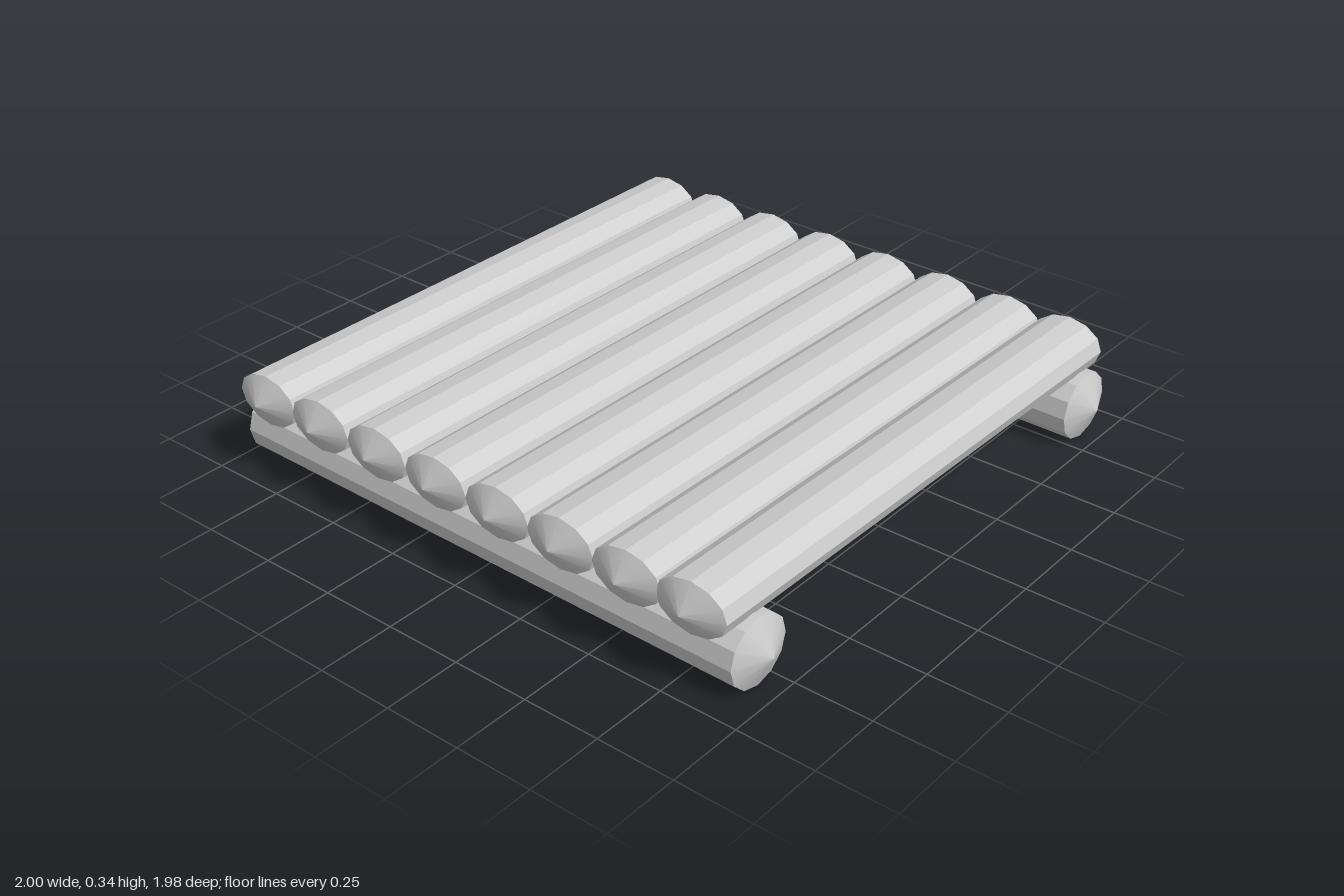
import * as THREE from 'three';
import { toCreasedNormals } from 'three/addons/utils/BufferGeometryUtils.js';

// Twelve-sided log along z with shallow pointed ends
function logGeometry(rx, ry, bodyHalf, tipHalf) {
  const profile = [[0, -tipHalf], [1, -bodyHalf], [1, bodyHalf], [0, tipHalf]]
    .map(([r, y]) => new THREE.Vector2(r, y));
  const geometry = new THREE.LatheGeometry(profile, 12);
  geometry.rotateX(Math.PI / 2);
  geometry.scale(rx, ry, 1);
  return toCreasedNormals(geometry, 0.3);
}

export function createModel() {
  const model = new THREE.Group();
  model.name = 'logPlatform';
  const material = new THREE.MeshStandardMaterial({ color: 0xcccccc });

  // The whole platform sits very slightly turned
  const platform = new THREE.Group();
  platform.name = 'platform';
  platform.rotation.y = -0.01;
  model.add(platform);

  // Flattened deck logs, side by side
  const deckGeometry = logGeometry(0.12, 0.083, 0.93, 0.98);
  [-0.83, -0.6, -0.36, -0.12, 0.12, 0.355, 0.59, 0.81].forEach((x, i) => {
    const log = new THREE.Mesh(deckGeometry, material);
    log.name = `deckLog${i + 1}`;
    log.position.set(x, 0.255, 0);
    platform.add(log);
  });

  // Round cross logs carrying the deck at front and back
  const supportGeometry = logGeometry(0.116, 0.11, 0.94, 0.99);
  supportGeometry.rotateY(Math.PI / 2);
  for (const [name, z] of [['frontSupportLog', 0.81], ['backSupportLog', -0.833]]) {
    const log = new THREE.Mesh(supportGeometry, material);
    log.name = name;
    log.position.set(0, 0.11, z);
    platform.add(log);
  }
  return model;
}
